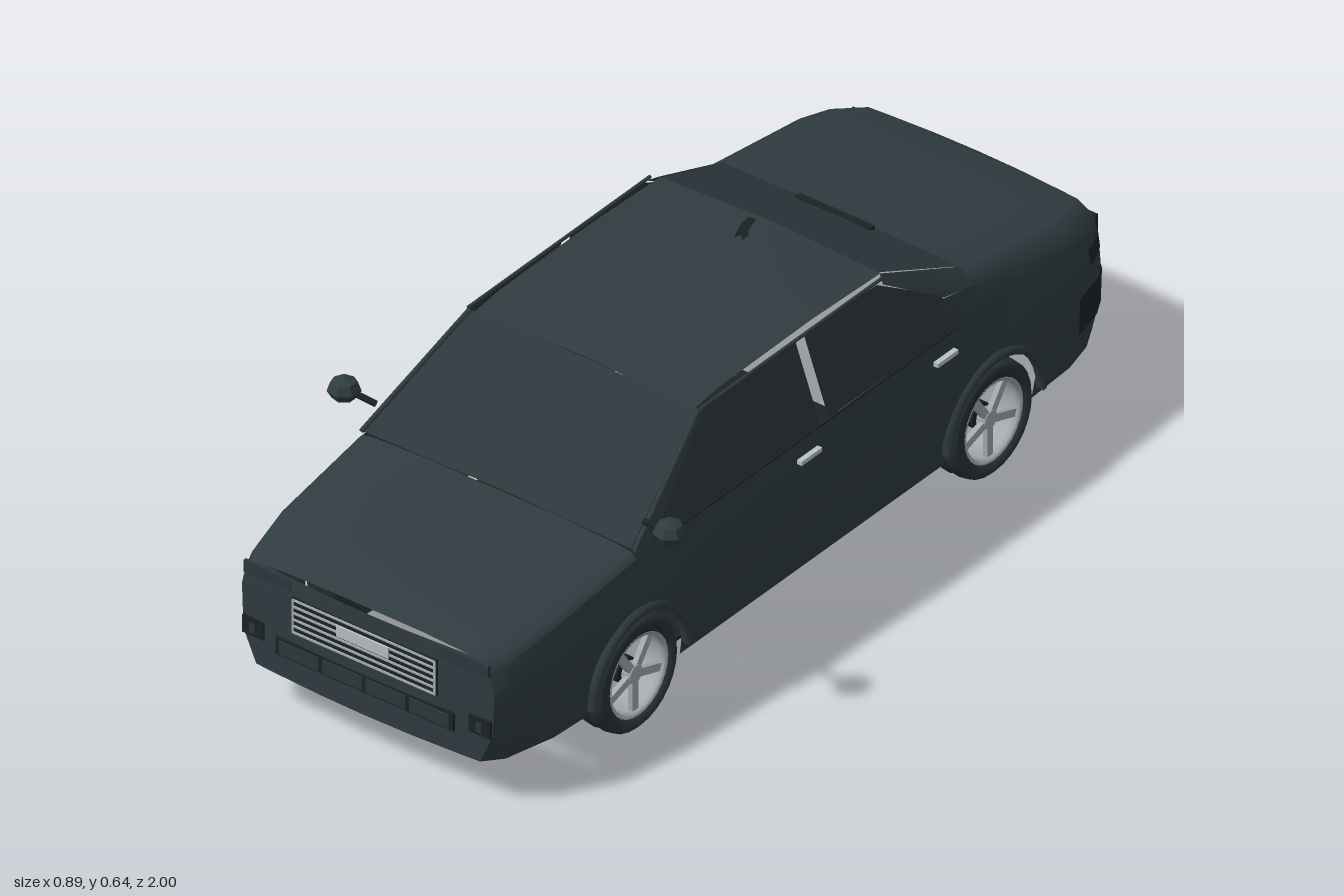
import * as THREE from 'three';

const mat = (name, color, side = THREE.FrontSide) => {
  const m = new THREE.MeshStandardMaterial({ color, side });
  m.name = name;
  return m;
};

export function createModel() {
  const D = THREE.DoubleSide;
  const paint = mat('bodyPaint', 0x303c41, D);
  const glass = mat('darkGlass', 0x2c373c, D);
  const black = mat('blackTrim', 0x1c2326, D);
  const rubber = mat('tyreRubber', 0x293236);
  const silver = mat('silver', 0xa3abae, D);
  const white = mat('plateGrey', 0xb9c2c6, D);

  const car = new THREE.Group();
  car.name = 'sedan';
  const add = (name, geo, m, parent = car) => {
    const mesh = new THREE.Mesh(geo, m);
    mesh.name = name;
    parent.add(mesh);
    return mesh;
  };
  const box = (name, w, h, d, x, y, z, m) => add(name, new THREE.BoxGeometry(w, h, d), m).position.set(x, y, z);

  // Skin through rows of points
  const grid = (rows) => {
    const n = rows[0].length, idx = [];
    for (let i = 0; i < rows.length - 1; i++)
      for (let j = 0; j < n - 1; j++) {
        const a = i * n + j, b = a + n;
        idx.push(a, b, a + 1, b, b + 1, a + 1);
      }
    const g = new THREE.BufferGeometry();
    g.setAttribute('position', new THREE.Float32BufferAttribute(rows.flat(2), 3));
    g.setIndex(idx);
    g.computeVertexNormals();
    return g;
  };
  // Flat convex panel from its corners
  const panel = (pts) => {
    const g = new THREE.BufferGeometry();
    g.setAttribute('position', new THREE.Float32BufferAttribute(pts.flat(), 3));
    g.setIndex(pts.slice(2).flatMap((_, i) => [0, i + 1, i + 2]));
    g.computeVertexNormals();
    return g;
  };
  const rod = (name, a, b, r, m) => add(name, new THREE.TubeGeometry(
    new THREE.LineCurve3(new THREE.Vector3(...a), new THREE.Vector3(...b)), 1, r, 6), m);
  const interp = (t, v) => {
    let i = 0;
    while (i < t.length - 2 && v > t[i + 1][0]) i++;
    const k = Math.min(1, Math.max(0, (v - t[i][0]) / (t[i + 1][0] - t[i][0])));
    return t[i].map((a, j) => a + (t[i + 1][j] - a) * k);
  };

  // Stations: z, half widths at sill, middle and belt, belt height, top height
  const stations = [
    [-0.98, 0.29, 0.325, 0.315, 0.35, 0.405], [-0.93, 0.325, 0.352, 0.335, 0.37, 0.42],
    [-0.85, 0.345, 0.37, 0.35, 0.38, 0.435], [-0.55, 0.36, 0.376, 0.356, 0.405, 0.48],
    [0, 0.36, 0.378, 0.358, 0.405, 0.41], [0.56, 0.36, 0.376, 0.352, 0.39, 0.41],
    [0.82, 0.345, 0.368, 0.343, 0.355, 0.378], [0.94, 0.315, 0.345, 0.325, 0.33, 0.36],
    [0.98, 0.28, 0.32, 0.305, 0.315, 0.348]];
  const axles = [0.58, -0.57], axleY = 0.13, archR = 0.148;
  const sideX = (z, y) => {
    const [, wb, wm, wt, belt] = interp(stations, z);
    return interp([[0.09, wb], [0.17, wm - 0.004], [0.28, wm], [belt, wt]], y)[1];
  };
  const sill = (z) => axles.reduce((y, a) => {
    const d = Math.abs(z - a);
    return d < archR ? Math.max(y, axleY + Math.sqrt(archR * archR - d * d)) : y;
  }, 0.098);
  const sideRow = (z, s) => {
    const belt = interp(stations, z)[4], y0 = sill(z);
    return Array.from({ length: 7 }, (_, i) => {
      const y = y0 + (belt - y0) * i / 6;
      return [s * sideX(z, y), y, z];
    });
  };
  const topRow = (z, s) => {
    const [, , , w, belt, top] = interp(stations, z);
    return [[s * w, belt, z], [s * (w - 0.012), belt + (top - belt) * 0.6, z],
      [s * (w - 0.05), top - 0.003, z], [s * w * 0.45, top + 0.002, z]];
  };

  // Columns along the car, dense round the wheel arches
  const zs = stations.map((s) => s[0]).concat(0.3, -0.3);
  for (const a of axles) for (let i = 0; i <= 16; i++) zs.push(a - Math.cos(Math.PI * i / 16) * archR);
  const columns = [...new Set(zs)].sort((a, b) => a - b);
  for (const s of [1, -1]) add(s > 0 ? 'leftSide' : 'rightSide', grid(columns.map((z) => sideRow(z, s))), paint);

  // Bonnet, boot lid and end panels
  const across = (z) => [...topRow(z, -1), ...topRow(z, 1).reverse()];
  add('bonnet', grid([0.56, 0.7, 0.82, 0.9, 0.94, 0.98].map(across)), paint);
  add('bootLid', grid([-0.98, -0.93, -0.85, -0.7, -0.55].map(across)), paint);
  for (const z of [0.98, -0.98]) {
    const half = [...sideRow(z, 1), ...topRow(z, 1).slice(1, 3)];
    const rows = half.map(([x, y]) => [-1, -0.85, -0.4, 0, 0.4, 0.85, 1].map((t) =>
      [t * x, y, z + Math.sign(z) * 0.012 * (1 - t * t)]));
    add(z > 0 ? 'frontBumper' : 'rearBumper', grid(rows), paint);
  }
  box('floor', 0.66, 0.008, 0.86, 0, 0.104, 0.0, black);

  // Cabin: roof, screens, side glass and pillars
  add('roof', grid([[0.28, 0.574], [0.2, 0.583], [-0.1, 0.586], [-0.325, 0.578]].map(([z, y]) =>
    [-1, -0.5, 0, 0.5, 1].map((t) => [t * 0.279, y + 0.01 * (1 - Math.abs(t)), z]))), paint);
  add('windscreen', grid([[0.56, 0.41, 0.338], [0.28, 0.576, 0.284]].map(([z, y, w]) =>
    [-1, 0, 1].map((t) => [t * w, y + 0.006 * (1 - Math.abs(t)), z]))), glass);
  add('rearWindow', grid([[-0.55, 0.483, 0.3], [-0.322, 0.58, 0.275]].map(([z, y, w]) =>
    [-1, 0, 1].map((t) => [t * w, y + 0.006 * (1 - Math.abs(t)), z]))), glass);
  box('brakeLight', 0.19, 0.008, 0.016, 0, 0.497, -0.533, black);
  for (const s of [1, -1]) {
    const side = (list) => panel(list.map(([z, y]) => [s * (0.357 - (y - 0.405) * 0.36), y, z]));
    add('frontSideWindow', side([[0.52, 0.405], [-0.028, 0.405], [-0.028, 0.58], [0.27, 0.575]]), glass);
    add('rearSideWindow', side([[-0.056, 0.405], [-0.5, 0.405], [-0.45, 0.48], [-0.29, 0.575], [-0.056, 0.58]]), glass);
    add('rearPillar', panel([[s * 0.28, 0.58, -0.32], [s * 0.302, 0.483, -0.55], [s * 0.342, 0.455, -0.55],
      [s * 0.334, 0.47, -0.46], [s * 0.3, 0.57, -0.305]]), paint);
    add('rearQuarter', panel([[s * 0.356, 0.405, -0.55], [s * 0.342, 0.457, -0.55],
      [s * 0.334, 0.47, -0.45], [s * 0.357, 0.405, -0.45]]), paint);
    rod('frontPillar', [s * 0.346, 0.408, 0.56], [s * 0.29, 0.576, 0.28], 0.006, paint);
    rod('roofRail', [s * 0.294, 0.579, 0.28], [s * 0.294, 0.58, -0.31], 0.004, paint);
    rod('beltTrim', [s * 0.36, 0.404, 0.5], [s * 0.36, 0.404, -0.48], 0.0025, black);

    // Door mirror
    rod('mirrorStalk', [s * 0.34, 0.455, 0.52], [s * 0.39, 0.467, 0.53], 0.007, black);
    const mirrorGeo = new THREE.SphereGeometry(1, 7, 4).toNonIndexed();
    mirrorGeo.computeVertexNormals();
    const mirror = add('doorMirror', mirrorGeo, paint);
    mirror.scale.set(0.036, 0.026, 0.036);
    mirror.position.set(s * 0.413, 0.467, 0.53);

    // Door handles
    for (const z of [0.027, -0.415]) box('doorHandle', 0.012, 0.01, 0.066, s * 0.374, 0.365, z, white);

    // Patches that follow the side skin
    const patch = (name, z0, z1, y0, y1, m) => add(name, grid([0, 0.33, 0.67, 1].map((k) => {
      const z = z0 + (z1 - z0) * k;
      return [y0, (y0 + y1) / 2, y1].map((y) => [s * (sideX(z, y) + 0.004), y, z]);
    })), m);
    patch('rearCornerTrim', -0.85, -0.975, 0.185, 0.275, black);
    patch('rearLampSide', -0.91, -0.975, 0.315, 0.35, black);

    // Wheel arch lips
    for (const a of axles) add('archLip', grid(Array.from({ length: 17 }, (_, i) => {
      const t = Math.PI * i / 16;
      return [[0.147, 0.366], [0.147, 0.385], [0.16, 0.383], [0.163, 0.37]].map(([r, x]) =>
        [s * x, axleY + r * Math.sin(t), a - r * Math.cos(t)]);
    })), paint);

    // Lamps and bumper fittings
    box('headlamp', 0.12, 0.028, 0.008, s * 0.25, 0.327, 0.984, glass);
    box('fogLamp', 0.055, 0.042, 0.008, s * 0.287, 0.187, 0.983, black);
    box('fogLens', 0.014, 0.022, 0.004, s * 0.287, 0.185, 0.988, glass);
    box('rearLamp', 0.13, 0.05, 0.008, s * 0.245, 0.355, -0.985, black);
    box('rearLampStrip', 0.11, 0.004, 0.004, s * 0.245, 0.357, -0.99, glass);
    box('rearReflector', 0.08, 0.085, 0.008, s * 0.27, 0.23, -0.984, black);
    const pipe = add('exhaust', new THREE.CylinderGeometry(0.012, 0.012, 0.06, 10, 1, true), silver);
    pipe.rotation.x = Math.PI / 2;
    pipe.position.set(s * 0.22, 0.108, -0.965);
  }

  // Front grille, number plates and lower intake
  box('grilleBack', 0.366, 0.086, 0.006, 0, 0.263, 0.99, black);
  for (let i = 0; i < 6; i++) box('grilleBar', 0.36, 0.004, 0.005, 0, 0.225 + i * 0.0155, 0.994, silver);
  for (const s of [1, -1]) box('grilleEdge', 0.004, 0.08, 0.005, s * 0.18, 0.263, 0.994, silver);
  box('frontPlate', 0.132, 0.026, 0.004, 0, 0.278, 0.998, white);
  box('lowerIntake', 0.45, 0.042, 0.006, 0, 0.173, 0.989, black);
  for (let i = 0; i < 4; i++) box('intakeVent', 0.1, 0.032, 0.004, -0.165 + i * 0.11, 0.173, 0.993, glass);
  box('rearPlateRecess', 0.2, 0.07, 0.005, 0, 0.318, -0.992, black);
  box('rearPlate', 0.14, 0.032, 0.004, 0, 0.322, -0.996, white);

  // Roof aerial fin
  const fin = new THREE.Shape([[0.2, 0.615], [0.225, 0.635], [0.25, 0.638], [0.275, 0.62], [0.25, 0.606],
    [0.25, 0.593], [0.23, 0.593], [0.23, 0.606]].map((p) => new THREE.Vector2(...p)));
  const aerial = add('aerial', new THREE.ExtrudeGeometry(fin, { depth: 0.005, bevelEnabled: false }), paint);
  aerial.rotation.y = Math.PI / 2;
  aerial.position.x = -0.0025;

  // Wheels: tyre, open rim, five spokes and hub, axis along x
  const tyre = new THREE.LatheGeometry([[0.094, -0.036], [0.118, -0.041], [0.127, -0.033], [0.13, -0.012], [0.126, -0.008],
    [0.126, 0.008], [0.13, 0.012], [0.127, 0.033], [0.118, 0.041], [0.094, 0.036], [0.094, -0.036]]
    .map((p) => new THREE.Vector2(...p)), 28);
  const rim = new THREE.LatheGeometry([[0.09, -0.034], [0.088, 0.02], [0.086, 0.034], [0.095, 0.037]]
    .map((p) => new THREE.Vector2(...p)), 28);
  for (const s of [1, -1]) for (const z of axles) {
    const wheel = new THREE.Group();
    wheel.name = (z > 0 ? 'front' : 'rear') + (s > 0 ? 'Left' : 'Right') + 'Wheel';
    add('tyre', tyre, rubber, wheel);
    add('rim', rim, silver, wheel);
    add('hub', new THREE.CylinderGeometry(0.02, 0.024, 0.02, 12), silver, wheel).position.y = 0.02;
    add('brakeDisc', new THREE.CylinderGeometry(0.03, 0.03, 0.03, 12), black, wheel).position.y = -0.01;
    for (let i = 0; i < 5; i++) {
      const a = i * Math.PI * 2 / 5;
      const spoke = add('spoke', new THREE.BoxGeometry(0.075, 0.012, 0.018), silver, wheel);
      spoke.position.set(Math.cos(a) * 0.053, 0.022, -Math.sin(a) * 0.053);
      spoke.rotation.y = a;
    }
    wheel.rotation.z = -s * Math.PI / 2;
    wheel.position.set(s * 0.337, axleY, z);
    car.add(wheel);
  }
  return car;
}
